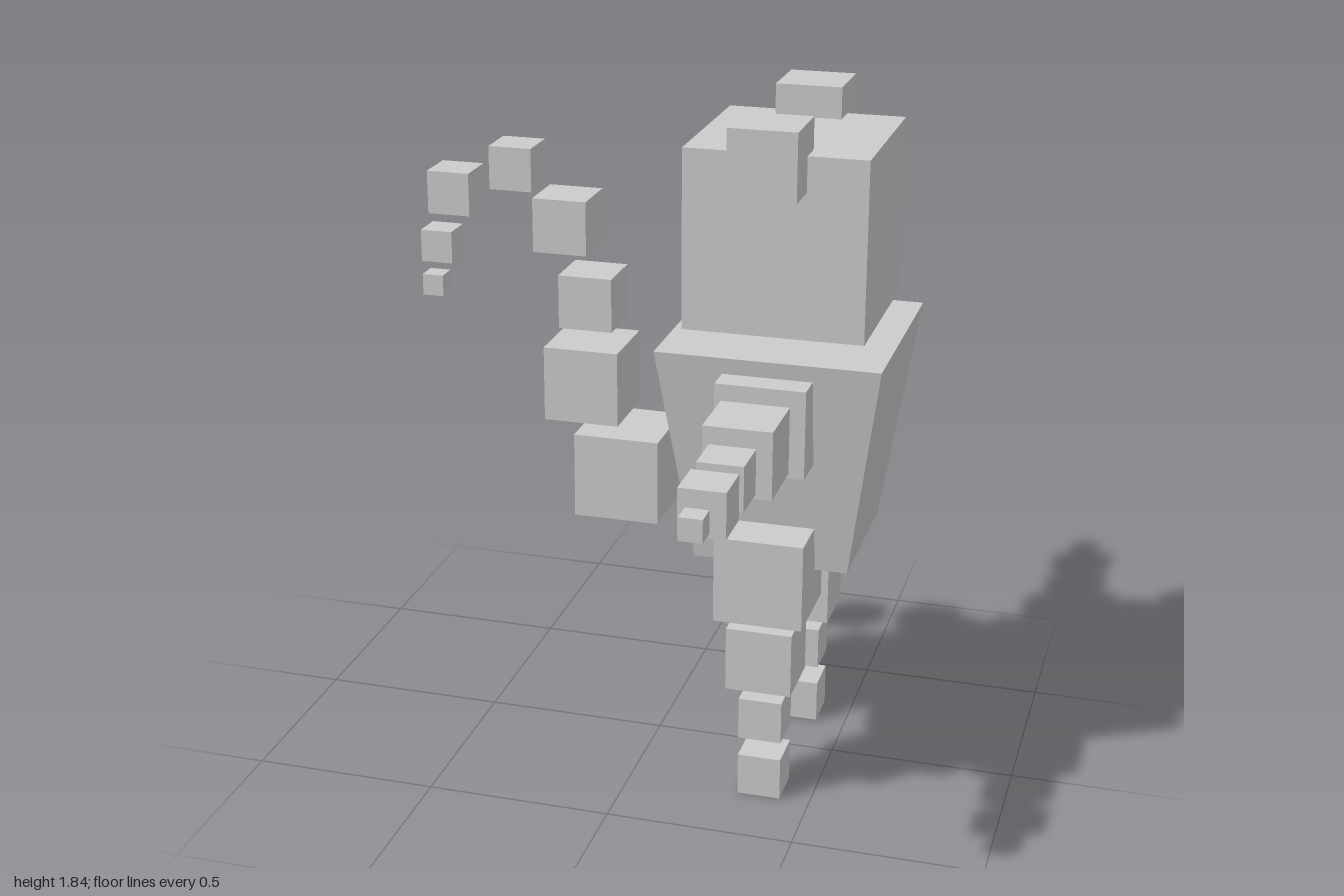
import * as THREE from 'three';

const material = new THREE.MeshStandardMaterial({ color: 0xcccccc, flatShading: true });

function cube(parent, name, size, x, y, z) {
  const mesh = new THREE.Mesh(new THREE.BoxGeometry(size, size, size), material);
  mesh.name = name;
  mesh.position.set(x, y, z);
  parent.add(mesh);
}

// A chain of separate cubes, each given as [size, x, y, z]
function chain(parent, name, cubes) {
  const group = new THREE.Group();
  group.name = name;
  cubes.forEach(([size, x, y, z], i) => cube(group, `${name}Segment${i + 1}`, size, x, y, z));
  parent.add(group);
}

export function createModel() {
  const model = new THREE.Group();
  model.name = 'blockCreature';
  const bodyX = 0.361;

  // Torso: a box narrowed towards the bottom
  const torsoGeometry = new THREE.BoxGeometry(0.584, 0.59, 0.584);
  const p = torsoGeometry.attributes.position;
  for (let i = 0; i < p.count; i++) {
    if (p.getY(i) < 0) p.setXYZ(i, p.getX(i) * 0.702, p.getY(i), p.getZ(i) * 0.702);
  }
  torsoGeometry.computeVertexNormals();
  const torso = new THREE.Mesh(torsoGeometry, material);
  torso.name = 'torso';
  torso.position.set(bodyX, 0.94, 0.006);
  model.add(torso);

  // Head, floating just above the torso
  cube(model, 'head', 0.47, bodyX, 1.517, 0.006);

  for (const [side, s] of [['front', 1], ['back', -1]]) {
    cube(model, `${side}Ear`, 0.175, 0.354, 1.748, 0.01 + s * 0.252);

    // Legs: cubes shrinking towards the foot
    const legZ = 0.011 + s * 0.227;
    chain(model, `${side}Leg`, [
      [0.234, 0.363, 0.651, legZ],
      [0.175, bodyX, 0.413, legZ],
      [0.116, bodyX, 0.226, legZ],
      [0.116, bodyX, 0.058, legZ],
    ]);

    // Arms: straight out, shoulder sunk into the torso
    chain(model, `${side}Arm`, [
      [0.233, 0.363, 1.075, s * 0.249],
      [0.175, 0.362, 1.077, s * 0.497],
      [0.116, bodyX, 1.077, s * 0.684],
      [0.116, bodyX, 1.077, s * 0.845],
      [0.058, bodyX, 1.077, s * 0.971],
    ]);
  }

  // Tail: rises behind the body and curls over at the tip
  chain(model, 'tail', [
    [0.233, -0.088, 0.797, 0.004],
    [0.204, -0.189, 1.045, 0.004],
    [0.146, -0.184, 1.268, 0.004],
    [0.146, -0.252, 1.472, 0.004],
    [0.116, -0.39, 1.614, 0.004],
    [0.116, -0.565, 1.535, 0.004],
    [0.087, -0.61, 1.381, 0.002],
    [0.058, -0.63, 1.267, 0.002],
  ]);

  return model;
}
